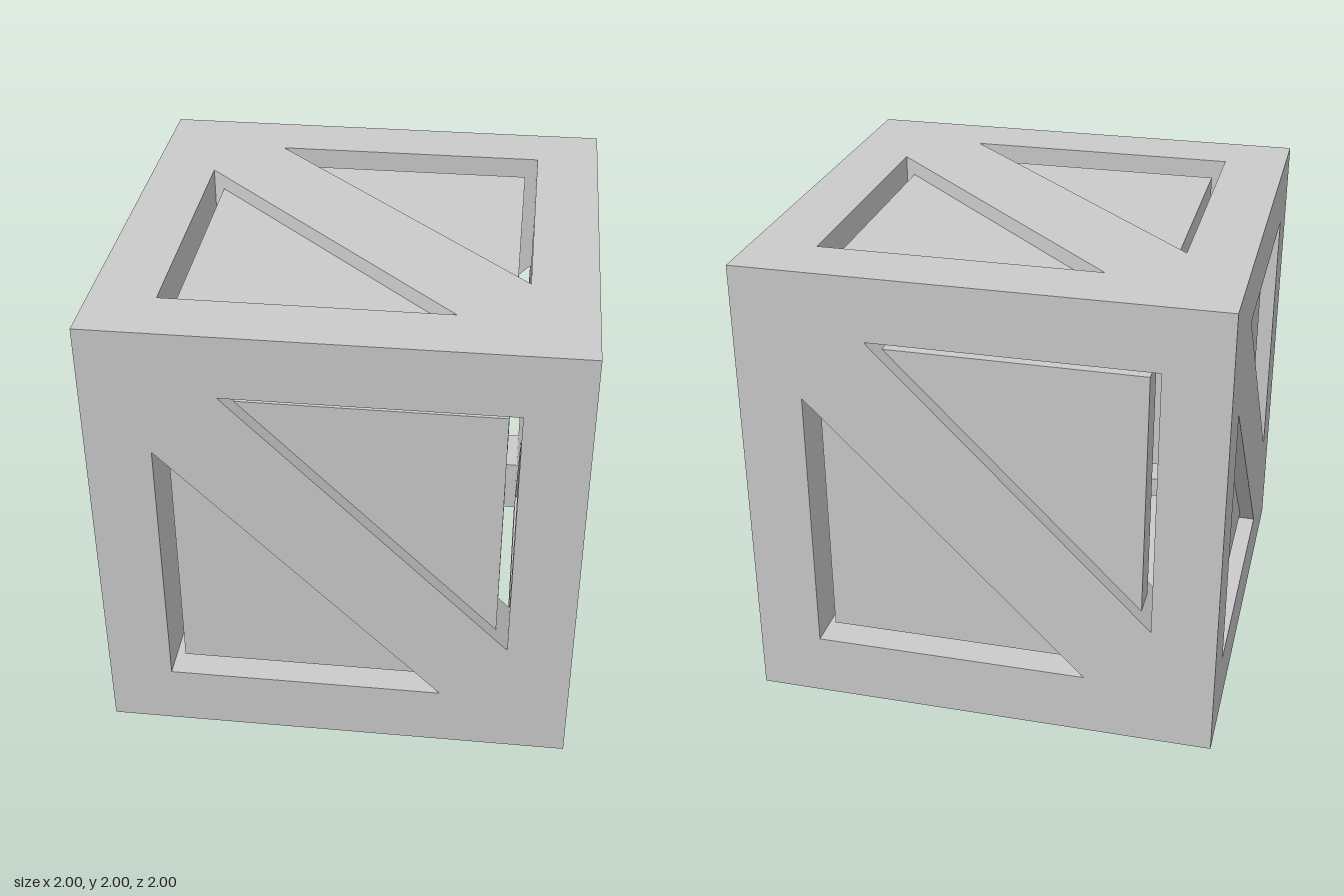
import * as THREE from 'three';

const BEAM = 0.273;          // square section of the edge beams
const IN = 1 - BEAM;         // half width of each opening
const CUT = 0.45;            // where the diagonal brace meets the beams
const PANEL = 0.675;         // half width of the recessed panels
const RECESS = 0.065;        // panel depth below the outer surface

export function createModel() {
  const crate = new THREE.Group();
  crate.name = 'crate';
  const material = new THREE.MeshStandardMaterial({ color: 0xcccccc, flatShading: true });

  const add = (parent, name, geometry, x = 0, y = 0, z = 0) => {
    const mesh = new THREE.Mesh(geometry, material);
    mesh.name = name;
    mesh.position.set(x, y, z);
    parent.add(mesh);
    return mesh;
  };

  // Frame: four full-height posts with rails fitted between them
  const mid = 1 - BEAM / 2;
  const post = new THREE.BoxGeometry(BEAM, 2, BEAM);
  const railX = new THREE.BoxGeometry(2 * IN, BEAM, BEAM);
  const railZ = new THREE.BoxGeometry(BEAM, BEAM, 2 * IN);
  for (const a of [-1, 1]) {
    for (const b of [-1, 1]) {
      add(crate, 'cornerPost', post, a * mid, 1, b * mid);
      add(crate, 'crossRail', railX, 0, 1 + a * mid, b * mid);
      add(crate, 'sideRail', railZ, a * mid, 1 + b * mid, 0);
    }
  }

  // Diagonal brace, mitred into two corners of an opening
  const braceShape = new THREE.Shape([
    [-IN, IN], [-IN, CUT], [CUT, -IN], [IN, -IN], [IN, -CUT], [-CUT, IN],
  ].map(([x, y]) => new THREE.Vector2(x, y)));
  const brace = new THREE.ExtrudeGeometry(braceShape, { depth: BEAM, bevelEnabled: false });

  // Loose panel set midway through the wall, leaving a narrow slot around it
  const panel = new THREE.BoxGeometry(2 * PANEL, 2 * PANEL, BEAM - 2 * RECESS);

  // One brace and panel on each side of the cube
  const q = Math.PI / 2;
  const sides = {
    front: [0, 0, 0],
    left: [0, q, 0],
    back: [0, 2 * q, 0],
    right: [0, -q, 0],
    top: [-q, 0, 0],
    bottom: [q, 0, q],
  };
  for (const [name, rotation] of Object.entries(sides)) {
    const side = new THREE.Group();
    side.name = name + 'Side';
    add(side, 'diagonalBrace', brace, 0, 0, IN);
    add(side, 'recessedPanel', panel, 0, 0, mid);
    side.rotation.set(...rotation);
    side.position.y = 1;
    crate.add(side);
  }
  return crate;
}
